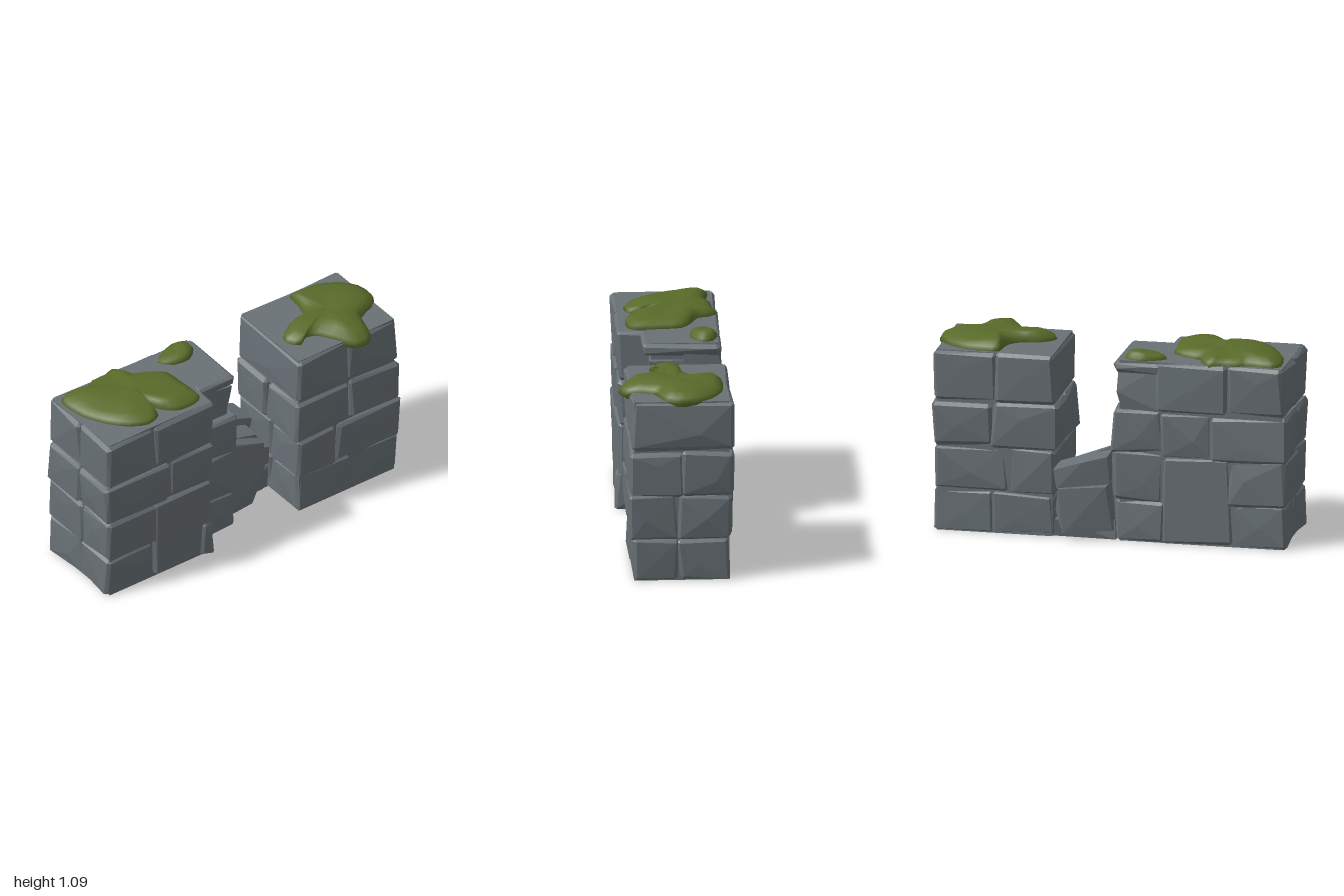
import * as THREE from 'three';
import { ConvexGeometry } from 'three/addons/geometries/ConvexGeometry.js';

const stoneMat = new THREE.MeshStandardMaterial({ color: 0x697176 });
stoneMat.name = 'grey stone';
const mossMat = new THREE.MeshStandardMaterial({ color: 0x5a6b2a });
mossMat.name = 'green moss';

let seed = 11;
const rnd = () => ((seed = (seed * 16807) % 2147483647) / 2147483647);
const jit = (a) => (rnd() * 2 - 1) * a;

function add(group, name, geo, mat) {
  const m = new THREE.Mesh(geo, mat);
  m.name = name;
  group.add(m);
}

// Rough cut block: chamfered corners plus slightly bulging faces
function block(group, name, x0, x1, y0, y1, z0, z1) {
  const pts = [], lo = [x0, y0, z0], hi = [x1, y1, z1];
  for (let c = 0; c < 8; c++) {
    const s = [c & 1, (c >> 1) & 1, (c >> 2) & 1];
    const jog = [jit(0.012), jit(0.008), jit(0.012)];
    for (let k = 0; k < 3; k++) {
      const p = s.map((on, i) => {
        const inset = i === k ? 0 : 0.012 + rnd() * 0.012;
        return (on ? hi[i] - inset : lo[i] + inset) + jog[i];
      });
      p[1] = Math.min(1.02, Math.max(0, p[1]));
      pts.push(new THREE.Vector3(...p));
    }
  }
  for (let k = 0; k < 3; k += 2) for (const on of [0, 1]) {
    const p = lo.map((l, i) => l + (hi[i] - l) * (0.3 + rnd() * 0.4));
    p[k] = on ? hi[k] + 0.008 : lo[k] - 0.008;
    pts.push(new THREE.Vector3(...p));
  }
  add(group, name, new ConvexGeometry(pts), stoneMat);
}

// Broken stone from a front outline, with a ragged back and front
function shard(group, name, outline, z0, z1) {
  const pts = [];
  for (const [x, y] of outline) for (const z of [z0, z1])
    pts.push(new THREE.Vector3(x + jit(0.01), Math.max(0, y + (y > 0 ? jit(0.008) : 0)), z + jit(0.02)));
  add(group, name, new ConvexGeometry(pts), stoneMat);
}

// Plain inner mass that closes the joints
function core(group, x0, x1, z0, z1) {
  const g = new THREE.BoxGeometry(x1 - x0, 1.02, z1 - z0);
  g.translate((x0 + x1) / 2, 0.51, (z0 + z1) / 2);
  add(group, 'core', g, stoneMat);
}

// Courses: [y0, y1, [x joints], [z joints]]
function courses(group, name, rows) {
  for (const [y0, y1, xs, zs] of rows)
    for (let i = 0; i < xs.length - 1; i++)
      for (let j = 0; j < zs.length - 1; j++)
        block(group, name, xs[i], xs[i + 1], y0, y1, zs[j], zs[j + 1]);
}

// Moss cushion: rings shrinking from a clockwise outline to a centre
function moss(group, name, cx, cz, outline, height) {
  const curve = new THREE.CatmullRomCurve3(
    outline.map(([x, z]) => new THREE.Vector3(x, 0, z)), true, 'catmullrom', 0.4);
  const n = outline.length * 2, edge = curve.getPoints(n);
  const rings = [[0.86, 0.965], [1, 1.015], [0.95, 1.02 + height * 0.4],
    [0.78, 1.02 + height * 0.8], [0.45, 1.02 + height], [0, 1.02 + height * 0.85]];
  const pos = [], idx = [];
  rings.forEach(([s, y], k) => {
    for (let j = 0; j < n; j++) {
      const x = cx + (edge[j].x - cx) * s, z = cz + (edge[j].z - cz) * s;
      const lump = k > 2 && k < 5 ? Math.sin(x * 17) * Math.cos(z * 15) * 0.01 : 0;
      const droop = k > 0 ? Math.max(0, z - 0.22) * 0.2 : 0;
      pos.push(x, y + lump - droop, z);
      if (k < rings.length - 1) {
        const a = k * n + j, b = k * n + (j + 1) % n;
        idx.push(a, a + n, b, b, a + n, b + n);
      }
    }
  });
  const g = new THREE.BufferGeometry();
  g.setAttribute('position', new THREE.Float32BufferAttribute(pos, 3));
  g.setIndex(idx);
  g.computeVertexNormals();
  add(group, name, g, mossMat);
}

export function createModel() {
  seed = 11;
  const model = new THREE.Group();
  const part = (name) => {
    const g = new THREE.Group();
    g.name = name;
    model.add(g);
    return g;
  };

  // Long wall section
  const wall = part('longWall');
  core(wall, -0.965, -0.29, -0.275, 0.25);
  courses(wall, 'wallStone', [
    [0, 0.24, [-0.98, -0.67], [-0.28, 0, 0.26]],
    [0.23, 0.49, [-0.985, -0.66], [-0.285, 0.02, 0.265]],
    [0, 0.49, [-0.68, -0.29], [-0.28, -0.02, 0.265]],
    [0.48, 0.735, [-0.99, -0.57, -0.275], [-0.285, 0, 0.265]],
    [0.74, 1.02, [-0.98, -0.66, -0.265], [-0.29, 0, 0.265]],
  ]);
  block(wall, 'cornerStone', -0.355, -0.275, 0, 0.22, 0.1, 0.275);

  // Narrower stepped end of the wall
  const step = part('steppedEnd');
  core(step, -0.3, -0.06, -0.27, 0.1);
  courses(step, 'stepStone', [
    [0, 0.235, [-0.3, -0.03], [-0.28, -0.06, 0.14]],
    [0.23, 0.515, [-0.3, -0.02], [-0.28, -0.06, 0.145]],
    [0.5, 0.74, [-0.3, -0.02], [-0.285, -0.08, 0.14]],
  ]);
  shard(step, 'bulgingStone', [[-0.1, 0.5], [0, 0.5], [0.01, 0.56], [-0.03, 0.72], [-0.1, 0.72]], -0.12, 0.06);
  shard(step, 'brokenStone', [[-0.3, 0.75], [-0.08, 0.75], [-0.04, 0.82], [-0.04, 0.93], [-0.3, 0.94]], -0.1, 0.11);
  shard(step, 'brokenStone', [[-0.3, 0.74], [-0.07, 0.75], [-0.04, 0.85], [-0.05, 1.0], [-0.3, 1.0]], -0.275, -0.08);
  block(step, 'capSlab', -0.29, -0.035, 0.95, 1.02, -0.28, 0.135);

  // Square pillar
  const pillar = part('pillar');
  core(pillar, 0.315, 0.96, -0.27, 0.25);
  courses(pillar, 'pillarStone', [
    [0, 0.235, [0.31, 0.65, 0.975], [-0.27, 0.01, 0.255]],
    [0.23, 0.485, [0.3, 0.56, 0.98], [-0.28, 0.01, 0.27]],
    [0.485, 0.735, [0.285, 0.65, 0.98], [-0.29, -0.01, 0.27]],
    [0.74, 1.02, [0.3, 0.64, 0.98], [-0.285, 0.265]],
  ]);

  // Collapsed stones in the gap
  const rubble = part('rubble');
  shard(rubble, 'frontRubble', [[-0.04, 0], [0.16, 0], [0.23, 0.2], [0.23, 0.37], [0, 0.47], [-0.04, 0.47]], -0.01, 0.045);
  shard(rubble, 'middleRubble', [[-0.04, 0], [0.27, 0], [0.29, 0.18], [0.26, 0.36], [0, 0.44], [-0.04, 0.44]], -0.2, -0.04);
  shard(rubble, 'lowBackRubble', [[-0.02, 0.05], [0.24, 0.04], [0.3, 0.15], [0.28, 0.29], [0, 0.31]], -0.31, -0.16);
  shard(rubble, 'topBackRubble', [[-0.01, 0.32], [0.27, 0.29], [0.3, 0.4], [0.14, 0.45], [0, 0.48]], -0.315, -0.17);
  shard(rubble, 'smallRubble', [[0.18, 0], [0.3, 0], [0.3, 0.16], [0.24, 0.18]], -0.18, -0.03);
  shard(rubble, 'smallRubble', [[0.21, 0.19], [0.3, 0.18], [0.3, 0.28], [0.24, 0.31]], -0.16, 0.0);
  shard(rubble, 'baseRubble', [[-0.04, 0], [0.31, 0], [0.31, 0.1], [-0.04, 0.1]], -0.26, -0.08);

  // Moss cushions
  const green = part('mossPatches');
  moss(green, 'wallMoss', -0.6, -0.06, [[-0.95, -0.21], [-0.9, -0.26], [-0.78, -0.24], [-0.71, -0.27],
    [-0.62, -0.27], [-0.56, -0.29], [-0.51, -0.24], [-0.49, -0.18], [-0.4, -0.14], [-0.32, -0.08], [-0.31, 0.03],
    [-0.3, 0.18], [-0.36, 0.22], [-0.46, 0.22], [-0.53, 0.17], [-0.59, 0.09], [-0.59, 0.19], [-0.68, 0.22],
    [-0.78, 0.17], [-0.86, 0.08], [-0.93, -0.05]], 0.055);
  moss(green, 'stepMoss', -0.19, -0.2, [[-0.31, -0.2], [-0.24, -0.25], [-0.17, -0.27], [-0.09, -0.24],
    [-0.08, -0.18], [-0.15, -0.12], [-0.25, -0.13]], 0.04);
  moss(green, 'pillarMoss', 0.68, 0, [[0.62, -0.25], [0.7, -0.25], [0.8, -0.24], [0.91, -0.18], [0.98, -0.09],
    [0.99, 0.02], [0.93, 0.09], [0.82, 0.14], [0.785, 0.27], [0.73, 0.32], [0.66, 0.31], [0.6, 0.23],
    [0.54, 0.13], [0.47, 0.1], [0.41, 0.14], [0.36, 0.08], [0.37, 0.03], [0.43, -0.02], [0.53, -0.04],
    [0.59, -0.09], [0.61, -0.17]], 0.06);

  return model;
}
